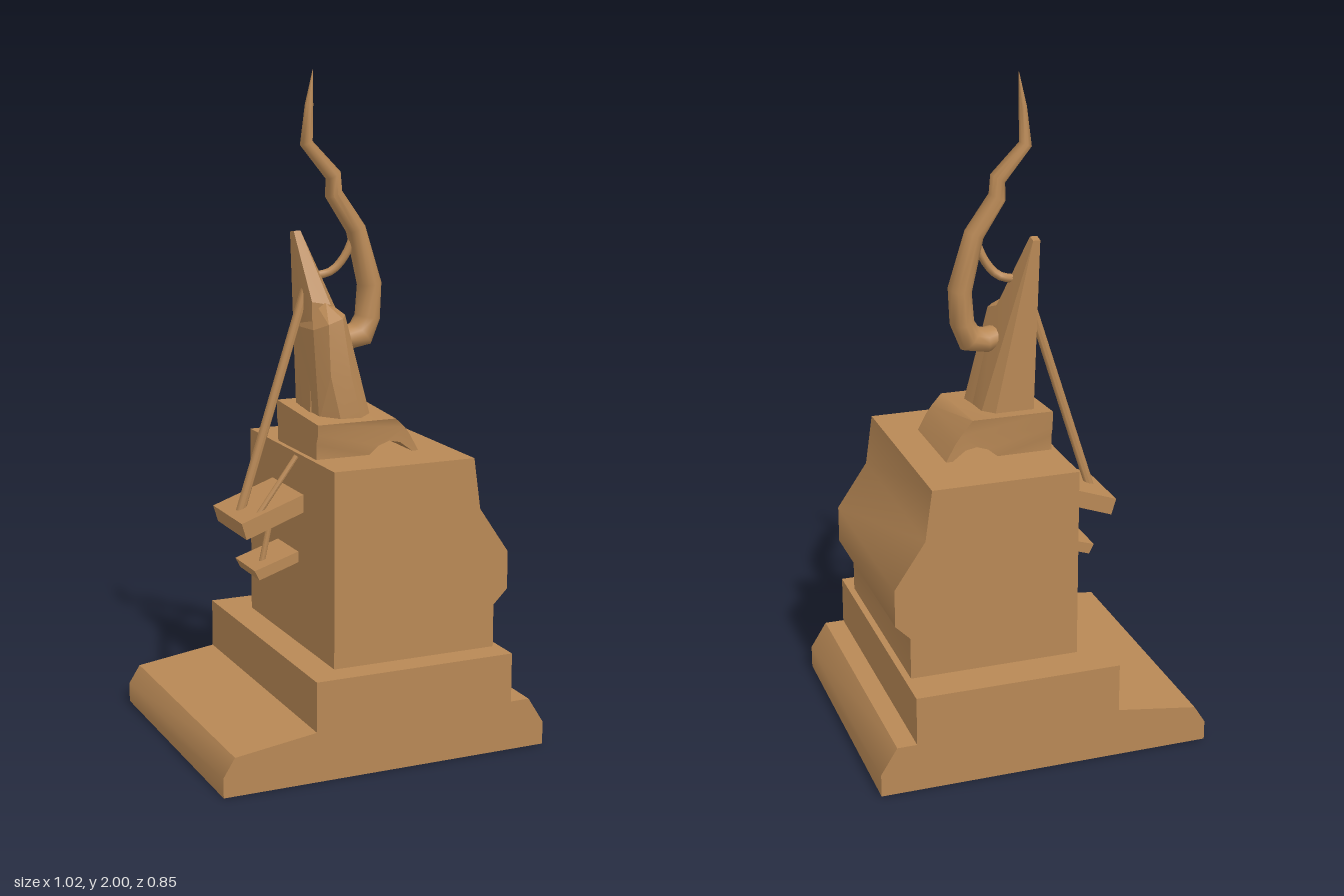
import * as THREE from 'three';
import { toCreasedNormals } from 'three/addons/utils/BufferGeometryUtils.js';
import { ConvexGeometry } from 'three/addons/geometries/ConvexGeometry.js';

const material = new THREE.MeshStandardMaterial({ color: 0xb88855 });

function part(name, geometry, crease = 0.8) {
  const mesh = new THREE.Mesh(toCreasedNormals(geometry, crease), material);
  mesh.name = name;
  return mesh;
}

// Side profile in x and y, drawn through from z0 to z1
function slab(points, z0, z1) {
  const shape = new THREE.Shape(points.map(([x, y]) => new THREE.Vector2(x, y)));
  const g = new THREE.ExtrudeGeometry(shape, { depth: z1 - z0, bevelEnabled: false });
  return g.translate(0, 0, z0);
}

// Straight round bar between two points
function rod(name, a, b, r) {
  const curve = new THREE.LineCurve3(new THREE.Vector3(...a), new THREE.Vector3(...b));
  const length = curve.getLength();
  const g = new THREE.CylinderGeometry(r, r, length, 10);
  const mesh = part(name, g);
  mesh.position.copy(curve.getPoint(0.5));
  mesh.quaternion.setFromUnitVectors(new THREE.Vector3(0, 1, 0), curve.getTangent(0));
  return mesh;
}

const hull = (pts) => new ConvexGeometry(pts.map((p) => new THREE.Vector3(...p)));

// Elliptical rings [x, y, in-plane radius, z radius] joined along a bent path
function horn(rings, z, sides = 12) {
  const pos = [], index = [];
  rings.forEach(([x, y, r, rz], i) => {
    const p = rings[Math.max(i - 1, 0)], n = rings[Math.min(i + 1, rings.length - 1)];
    const l = Math.hypot(n[0] - p[0], n[1] - p[1]);
    const nx = (n[1] - p[1]) / l, ny = -(n[0] - p[0]) / l;
    for (let j = 0; j < sides; j++) {
      const a = (j / sides) * Math.PI * 2, c = Math.cos(a) * r;
      pos.push(x + nx * c, y + ny * c, z + Math.sin(a) * rz);
      if (i === 0) continue;
      const k = (j + 1) % sides, lo = (i - 1) * sides, hi = i * sides;
      index.push(lo + j, hi + j, lo + k, lo + k, hi + j, hi + k);
    }
  });
  // Close the blunt root
  for (let j = 1; j < sides - 1; j++) index.push(0, j, j + 1);
  const g = new THREE.BufferGeometry();
  g.setAttribute('position', new THREE.Float32BufferAttribute(pos, 3));
  g.setIndex(index);
  return g;
}

export function createModel() {
  const model = new THREE.Group();
  model.name = 'monument';

  // Stepped base and block with a bulging side
  model.add(part('steppedBase', slab([
    [-0.515, 0], [0.51, 0], [0.51, 0.07], [0.46, 0.15], [0.4, 0.15], [0.4, 0.3],
    [-0.23, 0.3], [-0.23, 0.15], [-0.48, 0.115], [-0.515, 0.06],
  ], -0.427, 0.427)));
  model.add(part('pedestal', slab([
    [-0.14, 0.3], [0.38, 0.3], [0.38, 0.43], [0.425, 0.475], [0.425, 0.59],
    [0.33, 0.73], [0.308, 0.885], [-0.14, 0.885],
  ], -0.305, 0.345)));

  // Tilted shelves on the side and their bars
  model.add(part('upperShelf', slab([
    [-0.335, 0.7], [-0.32, 0.65], [-0.13, 0.718], [-0.13, 0.772],
  ], -0.12, 0.12)));
  model.add(part('lowerShelf', slab([
    [-0.28, 0.54], [-0.265, 0.51], [-0.13, 0.555], [-0.13, 0.588],
  ], -0.08, 0.08)));
  model.add(rod('longStay', [-0.295, 0.7, 0], [-0.075, 1.38, 0], 0.014));
  model.add(rod('shortStay', [-0.27, 0.715, 0.088], [-0.148, 0.88, 0.088], 0.008));
  model.add(rod('shelfPost', [-0.235, 0.54, 0.02], [-0.2, 0.7, 0.02], 0.009));

  // Moulded cap whose ends flare outward above the waist
  const cap = slab([
    [-0.125, 0.885], [0.045, 0.885], [0.075, 0.91], [0.11, 0.922], [0.145, 0.915],
    [0.185, 0.885], [0.205, 0.885], [0.178, 0.935], [0.16, 0.96], [0.125, 0.99],
    [-0.125, 0.99], [-0.125, 0.96], [-0.125, 0.93],
  ], -0.11, 0.182);
  const p = cap.attributes.position;
  for (let i = 0; i < p.count; i++) {
    const y = p.getY(i), z = p.getZ(i);
    if (y > 0.95 && p.getX(i) < 0.15) p.setZ(i, z > 0 ? 0.195 : -0.12);
    if (y > 0.98 && z < 0) p.setY(i, y + 0.02);
  }
  model.add(part('cap', cap));

  // Faceted tower: low front body and a tall rear spike
  model.add(part('towerBody', hull([
    [-0.085, 0.98, -0.03], [-0.08, 0.98, 0.1], [-0.03, 0.98, 0.15], [0.035, 0.98, 0.155],
    [0.08, 0.98, 0.115], [0.075, 0.98, 0.05], [0.05, 0.98, -0.03],
    [-0.06, 1.12, 0.14], [0.0, 1.12, 0.152], [-0.09, 1.25, 0.08], [-0.06, 1.27, 0.125],
    [-0.015, 1.285, 0.125], [0.012, 1.29, 0.08], [-0.1, 1.25, -0.02],
    [-0.045, 1.325, 0.07], [-0.07, 1.34, 0.02], [-0.01, 1.32, 0.0],
  ]), 0.3));
  model.add(part('towerSpike', hull([
    [-0.08, 0.98, -0.075], [0.045, 0.98, -0.075], [0.075, 0.98, -0.03], [0.075, 0.98, 0.05],
    [-0.088, 0.98, 0.05], [-0.1, 1.25, -0.04], [-0.085, 1.33, 0.06], [-0.03, 1.32, 0.07],
    [0.01, 1.29, 0.03], [-0.1, 1.53, -0.042], [-0.098, 1.525, -0.075],
    [-0.076, 1.525, -0.075], [-0.078, 1.53, -0.042],
  ]), 0.3));

  // Crooked horn rising from the tower
  model.add(part('horn', horn([
    [-0.01, 1.225, 0.03, 0.04], [0.04, 1.21, 0.037, 0.05], [0.09, 1.22, 0.043, 0.05],
    [0.113, 1.27, 0.036, 0.048], [0.119, 1.37, 0.035, 0.045], [0.074, 1.535, 0.029, 0.036],
    [0.003, 1.64, 0.026, 0.032], [0.001, 1.695, 0.024, 0.029],
    [-0.084, 1.79, 0.019, 0.023], [-0.075, 1.9, 0.012, 0.014], [-0.063, 2, 0.0005, 0.0005],
  ], 0.017), 0.9));

  // Thin tendril linking horn and tower
  const path = new THREE.CatmullRomCurve3([
    [0.075, 1.53], [0.045, 1.455], [0.005, 1.41], [-0.06, 1.395],
  ].map(([x, y], i) => new THREE.Vector3(x, y, 0.015 - i * 0.01)));
  model.add(part('tendril', new THREE.TubeGeometry(path, 10, 0.013, 8), 0.9));

  return model;
}
